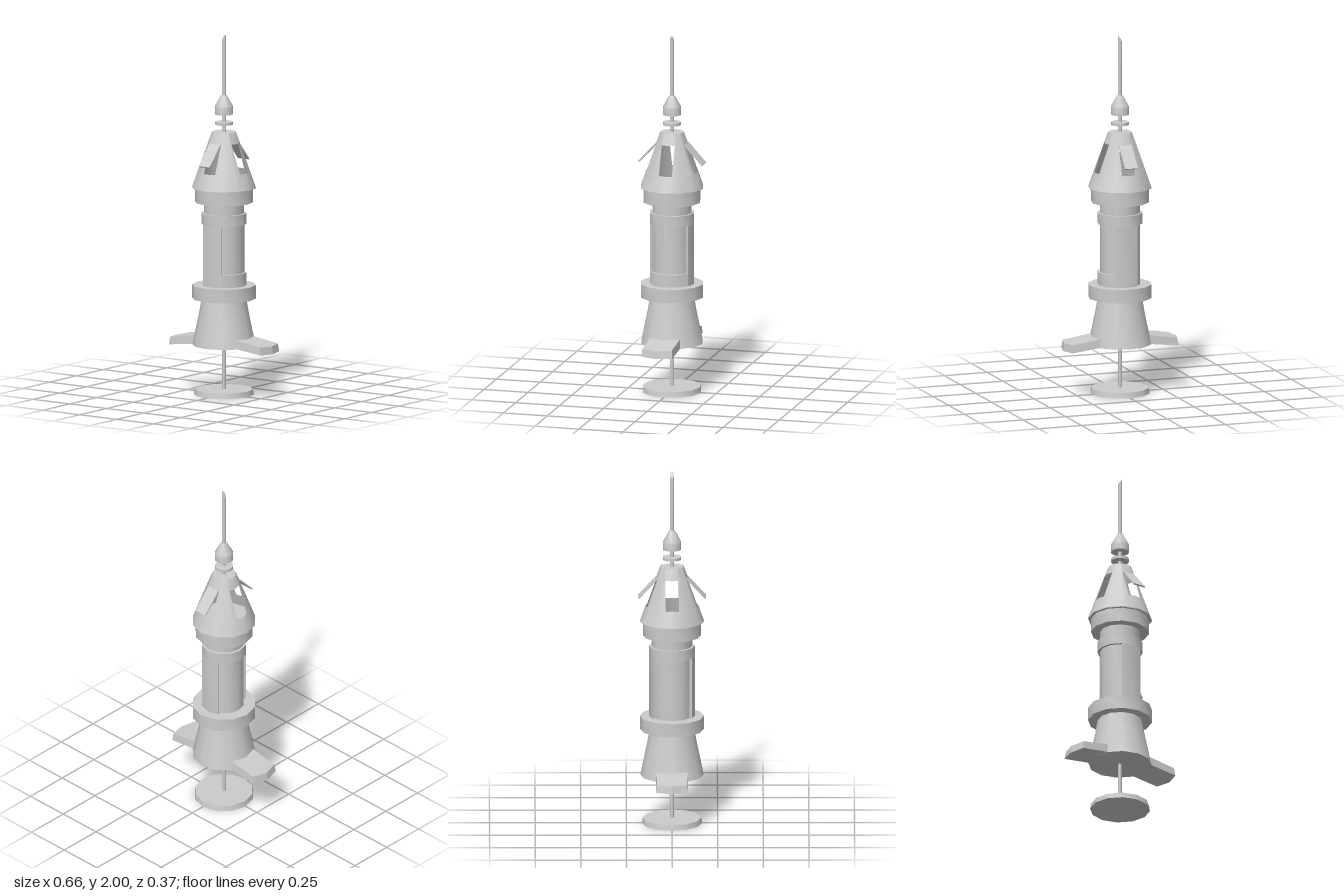
import * as THREE from 'three';
import { toCreasedNormals } from 'three/addons/utils/BufferGeometryUtils.js';

const SIDES = 12;
const mat = new THREE.MeshStandardMaterial({ color: 0xcccccc });
const thinMat = new THREE.MeshStandardMaterial({ color: 0xcccccc, side: THREE.DoubleSide });

export function createModel() {
  const model = new THREE.Group();
  const add = (name, geometry, material = mat) => {
    const mesh = new THREE.Mesh(geometry, material);
    mesh.name = name;
    model.add(mesh);
    return mesh;
  };

  // Closed turned part from [radius, y] pairs, bottom to top
  const turned = (name, profile) => {
    const pts = [[0, profile[0][1]], ...profile, [0, profile.at(-1)[1]]];
    const geo = new THREE.LatheGeometry(pts.map(([r, y]) => new THREE.Vector2(r, y)), SIDES);
    return add(name, toCreasedNormals(geo, 0.6));
  };
  const drum = (name, r, y0, y1) => turned(name, [[r, y0], [r, y1]]);

  // Foot and lower stem
  turned('footDisc', [[0.165, 0], [0.16, 0.03]]);
  drum('lowerStem', 0.01, 0.02, 0.29);

  // Flared skirt and lower collar
  turned('skirt', [[0.174, 0.275], [0.16, 0.345], [0.138, 0.45], [0.122, 0.54]]);
  drum('lowerCollar', 0.176, 0.535, 0.61);

  // Body core, with raised plating that leaves a recess on each side
  drum('bodyCore', 0.111, 0.6, 1.075);
  const plate = (name, from, to, y0, y1) => {
    const outer = [], inner = [];
    for (let deg = from; deg <= to; deg += 30) {
      const a = THREE.MathUtils.degToRad(deg);
      outer.push(new THREE.Vector2(Math.cos(a), Math.sin(a)).multiplyScalar(0.125));
      inner.unshift(new THREE.Vector2(Math.cos(a), Math.sin(a)).multiplyScalar(0.1));
    }
    const geo = new THREE.ExtrudeGeometry(new THREE.Shape([...outer, ...inner]),
      { depth: y1 - y0, bevelEnabled: false });
    geo.rotateX(-Math.PI / 2).translate(0, y0, 0);
    add(name, toCreasedNormals(geo, 0.6));
  };
  plate('frontPlate', 240, 300, 0.61, 0.95);
  plate('backPlate', 60, 120, 0.61, 0.95);
  plate('leftLedge', -60, 60, 0.61, 0.68);
  drum('bodyTopBand', 0.125, 0.95, 1.01);
  drum('upperCollar', 0.16, 1.07, 1.152);

  // Hollow nose cone with a window on each of the four sides
  const halfWindow = 0.037;
  const rows = [[0.176, 1.152], [0.145, 1.24], [0.088, 1.4], [0.066, 1.46]];
  const positions = [], index = [];
  for (const [r, y] of rows) {
    const w = Math.min(halfWindow, r * 0.49);
    const edge = r - w * Math.tan(Math.PI / 12);
    const quarter = [[r, 0], [edge, w], [r * Math.cos(Math.PI / 6), r / 2],
      [r / 2, r * Math.cos(Math.PI / 6)], [w, edge]];
    for (let q = 0; q < 4; q++) {
      for (const [px, pz] of quarter) {
        const p = new THREE.Vector3(px, y, pz).applyAxisAngle(new THREE.Vector3(0, 1, 0), -q * Math.PI / 2);
        positions.push(...p.toArray());
      }
    }
  }
  for (let row = 0; row < 3; row++) {
    for (let k = 0; k < 20; k++) {
      if (row === 1 && (k % 5 === 0 || k % 5 === 4)) continue; // window opening
      const a = row * 20 + k, b = row * 20 + (k + 1) % 20;
      index.push(a, a + 20, b, b, a + 20, b + 20);
    }
  }
  const cone = new THREE.BufferGeometry();
  cone.setAttribute('position', new THREE.Float32BufferAttribute(positions, 3));
  cone.setIndex(index);
  cone.computeVertexNormals();
  add('noseCone', cone, thinMat);
  drum('noseConeFloor', 0.175, 1.148, 1.153);
  drum('noseConeCap', 0.065, 1.45, 1.46);

  // Open flaps over the front and back windows
  for (const s of [1, -1]) {
    const geo = new THREE.BoxGeometry(0.074, 0.152, 0.008);
    geo.rotateX(-0.74).translate(0, 1.343, 0.132);
    add(s > 0 ? 'frontFlap' : 'backFlap', geo).rotation.y = s > 0 ? 0 : Math.PI;
  }

  // Upper stem, disc, knob and antenna with a slanted tip
  drum('upperStem', 0.011, 1.455, 1.56);
  drum('stemDisc', 0.05, 1.5, 1.516);
  turned('knob', [[0.05, 1.557], [0.05, 1.603], [0.016, 1.665]]);
  const antenna = new THREE.CylinderGeometry(0.011, 0.011, 0.34, SIDES).translate(0, 1.83, 0);
  const tip = antenna.attributes.position;
  for (let i = 0; i < tip.count; i++) {
    if (tip.getY(i) > 1.9) tip.setY(i, 1.982 + tip.getX(i) * 1.64);
  }
  add('antenna', toCreasedNormals(antenna.toNonIndexed(), 0.6));

  // Drooping side fins with pointed, slightly tapered ends
  for (const s of [1, -1]) {
    const geo = new THREE.BoxGeometry(1, 1, 2, 1, 1, 2);
    const p = geo.attributes.position;
    for (let i = 0; i < p.count; i++) {
      const top = p.getY(i) > 0, z = p.getZ(i);
      const inset = top ? 0.006 : 0;
      const x = p.getX(i) > 0 ? 0.332 - 0.022 * Math.abs(z) - inset : 0.1;
      p.setXYZ(i, x, (top ? 0.347 : 0.295) - x * (top ? 0.15 : 0.12), z * (0.088 - inset * 0.7));
    }
    const flat = geo.toNonIndexed();
    flat.computeVertexNormals();
    add(s > 0 ? 'leftFin' : 'rightFin', flat).rotation.y = s > 0 ? 0 : Math.PI;
  }
  return model;
}
